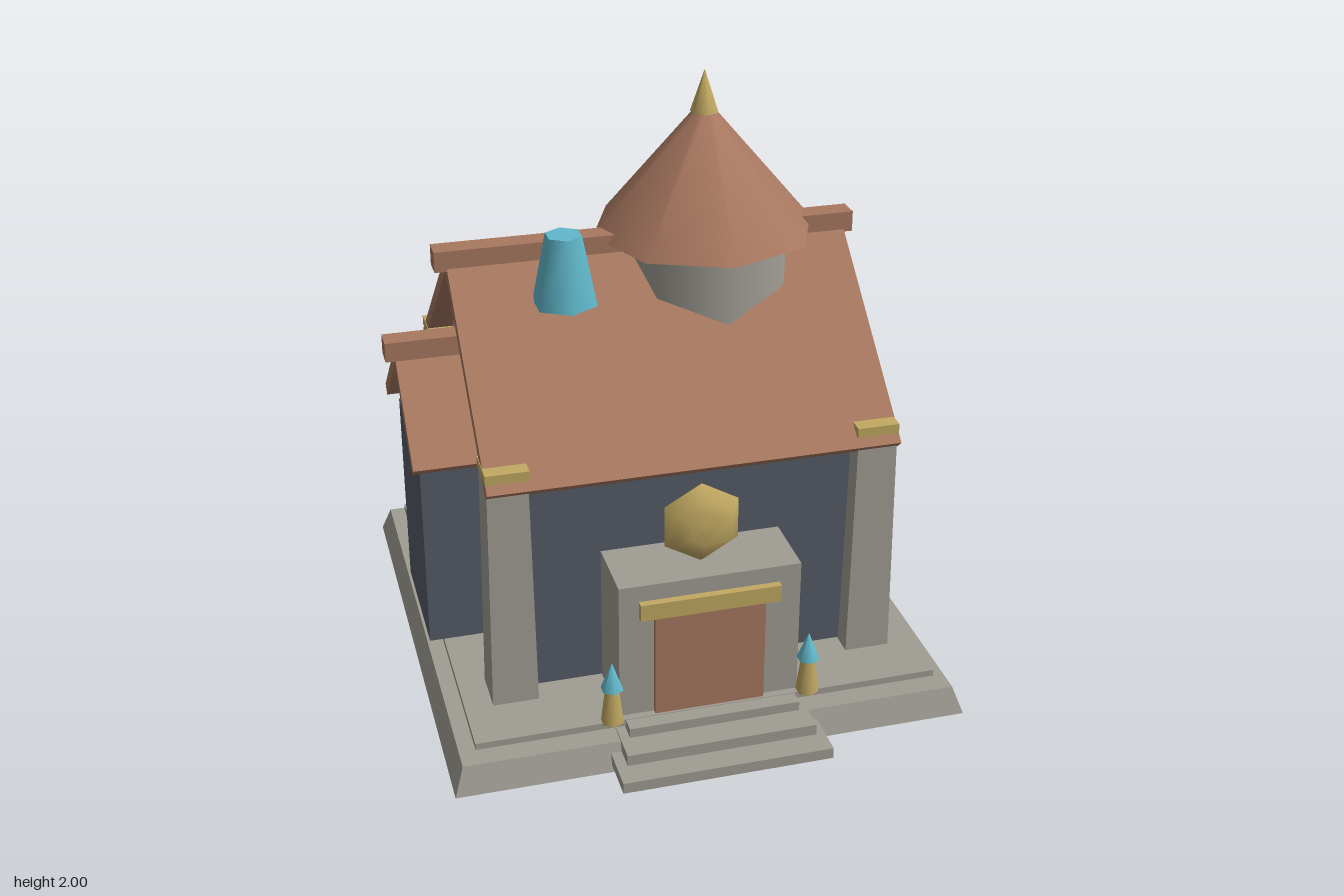
import * as THREE from 'three';

const CX = 0.015, CZ = -0.105; // centre of the hall

export function createModel() {
  const model = new THREE.Group();
  model.name = 'chapel';

  const material = (name, color) => {
    const m = new THREE.MeshStandardMaterial({ color });
    m.name = name;
    return m;
  };
  const stone = material('stone', 0xa09d94);
  const tile = material('terracotta', 0xa87860);
  const slate = material('slate wall', 0x565b66);
  const gold = material('gold', 0xc2a962);
  const cyan = material('cyan', 0x60b8cb);

  const add = (name, geometry, mat) => {
    const mesh = new THREE.Mesh(geometry, mat);
    mesh.name = name;
    model.add(mesh);
    return mesh;
  };
  // box given by its limits on each axis
  const box = (name, mat, [x0, x1], [y0, y1], [z0, z1]) => add(name,
    new THREE.BoxGeometry(x1 - x0, y1 - y0, z1 - z0)
      .translate((x0 + x1) / 2, (y0 + y1) / 2, (z0 + z1) / 2), mat);
  // smooth tapered prism standing between two heights
  const taper = (name, mat, x, z, [y0, y1], rBottom, rTop, sides) => add(name,
    new THREE.CylinderGeometry(rTop, rBottom, y1 - y0, sides)
      .translate(x, (y0 + y1) / 2, z), mat);
  // flat-sided square frustum, sizes are half widths
  const frustum = (name, mat, x, z, [y0, y1], bottom, top) => {
    const g = new THREE.CylinderGeometry(top * Math.SQRT2, bottom * Math.SQRT2, y1 - y0, 4)
      .rotateY(Math.PI / 4).toNonIndexed();
    g.computeVertexNormals();
    return add(name, g.translate(x, (y0 + y1) / 2, z), mat);
  };
  // outline in (z, y), extruded along x
  const alongX = (name, mat, points, x0, x1, z) => {
    const shape = new THREE.Shape(points.map(([pz, py]) => new THREE.Vector2(-pz, py)));
    const g = new THREE.ExtrudeGeometry(shape, { depth: x1 - x0, bevelEnabled: false });
    return add(name, g.rotateY(Math.PI / 2).translate(x0, 0, z), mat);
  };
  // two-sided roof shell
  const gableRoof = (name, x0, x1, z, half, eave, apex, drop) => alongX(name, tile, [
    [half, eave], [0, apex], [-half, eave],
    [-half + 0.03, eave - 0.028], [0, apex - drop], [half - 0.03, eave - 0.028],
  ], x0, x1, z);
  // triangular wall with a clipped top
  const gable = (name, x0, x1, z, half, y0, y1) => alongX(name, stone, [
    [half, y0], [0.045, y1], [-0.045, y1], [-half, y0],
  ], x0, x1, z);

  // Base and steps
  frustum('base', stone, CX, -0.072, [0, 0.092], 0.857, 0.825);
  box('floorSlab', stone, [-0.76, 0.79], [0.112, 0.135], [-0.85, 0.705]);
  box('upperStep', stone, [-0.27, 0.3], [0.1, 0.133], [0.5, 0.755]);
  box('middleStep', stone, [-0.3, 0.33], [0.06, 0.098], [0.66, 0.842]);
  box('lowerStep', stone, [-0.335, 0.36], [0.022, 0.06], [0.74, 0.925]);

  // Hall: walls, corner pillars and their caps
  box('hallWalls', slate, [-0.605, 0.635], [0.14, 0.91], [-0.655, 0.445]);
  for (const sx of [-1, 1]) for (const sz of [-1, 1]) {
    const x = CX + sx * 0.607, z = CZ + sz * 0.55;
    frustum('cornerPillar', stone, x, z, [0.135, 0.935], 0.076, 0.066);
    box('pillarCap', gold, [x - 0.07, x + 0.07], [0.946, 0.98], [z - 0.07, z + 0.07]);
  }
  gable('leftGable', 0.6, 0.65, CZ, 0.363, 0.915, 1.28);
  gable('rightGable', -0.62, -0.57, CZ, 0.363, 0.915, 1.28);
  gableRoof('hallRoof', -0.66, 0.695, CZ, 0.638, 0.92, 1.46, 0.055);
  box('hallRidge', tile, [-0.7, 0.725], [1.42, 1.49], [-0.145, -0.068]);

  // Side annex
  box('annexWalls', slate, [-0.81, -0.6], [0.145, 0.85], [-0.34, 0.115]);
  gable('annexGable', -0.805, -0.765, -0.115, 0.19, 0.85, 1.04);
  gableRoof('annexRoof', -0.842, -0.6, -0.115, 0.328, 0.862, 1.145, 0.05);
  box('annexRidge', tile, [-0.875, -0.6], [1.118, 1.185], [-0.155, -0.078]);

  // Porch with door, lintel and medallion
  box('porch', stone, [-0.285, 0.315], [0.13, 0.615], [0.43, 0.68]);
  box('door', tile, [-0.17, 0.195], [0.133, 0.5], [0.67, 0.697]);
  box('lintel', gold, [-0.22, 0.243], [0.5, 0.558], [0.67, 0.705]);
  const profile = [[0, 0], [0.14, 0], [0.14, 0.003], [0.105, 0.042], [0.055, 0.055], [0, 0.058]]
    .map(([r, h]) => new THREE.Vector2(r, h));
  add('medallion', new THREE.LatheGeometry(profile, 6).rotateX(Math.PI / 2), gold)
    .position.set(0.013, 0.752, 0.572);

  // Lanterns beside the door
  for (const x of [-0.315, 0.342]) {
    taper('lanternPost', gold, x, 0.705, [0.14, 0.272], 0.038, 0.022, 6);
    taper('lanternFlame', cyan, x, 0.705, [0.265, 0.36], 0.038, 0.001, 6);
  }

  // Tower
  taper('towerDrum', stone, 0.22, -0.145, [1.138, 1.465], 0.315, 0.3, 8);
  taper('towerRoof', tile, 0.22, -0.145, [1.46, 1.875], 0.38, 0.03, 8);
  taper('towerSpire', gold, 0.22, -0.145, [1.86, 2], 0.048, 0.001, 6);

  // Chimney
  taper('chimney', cyan, -0.305, 0.075, [1.333, 1.568], 0.11, 0.062, 6);

  return model;
}
